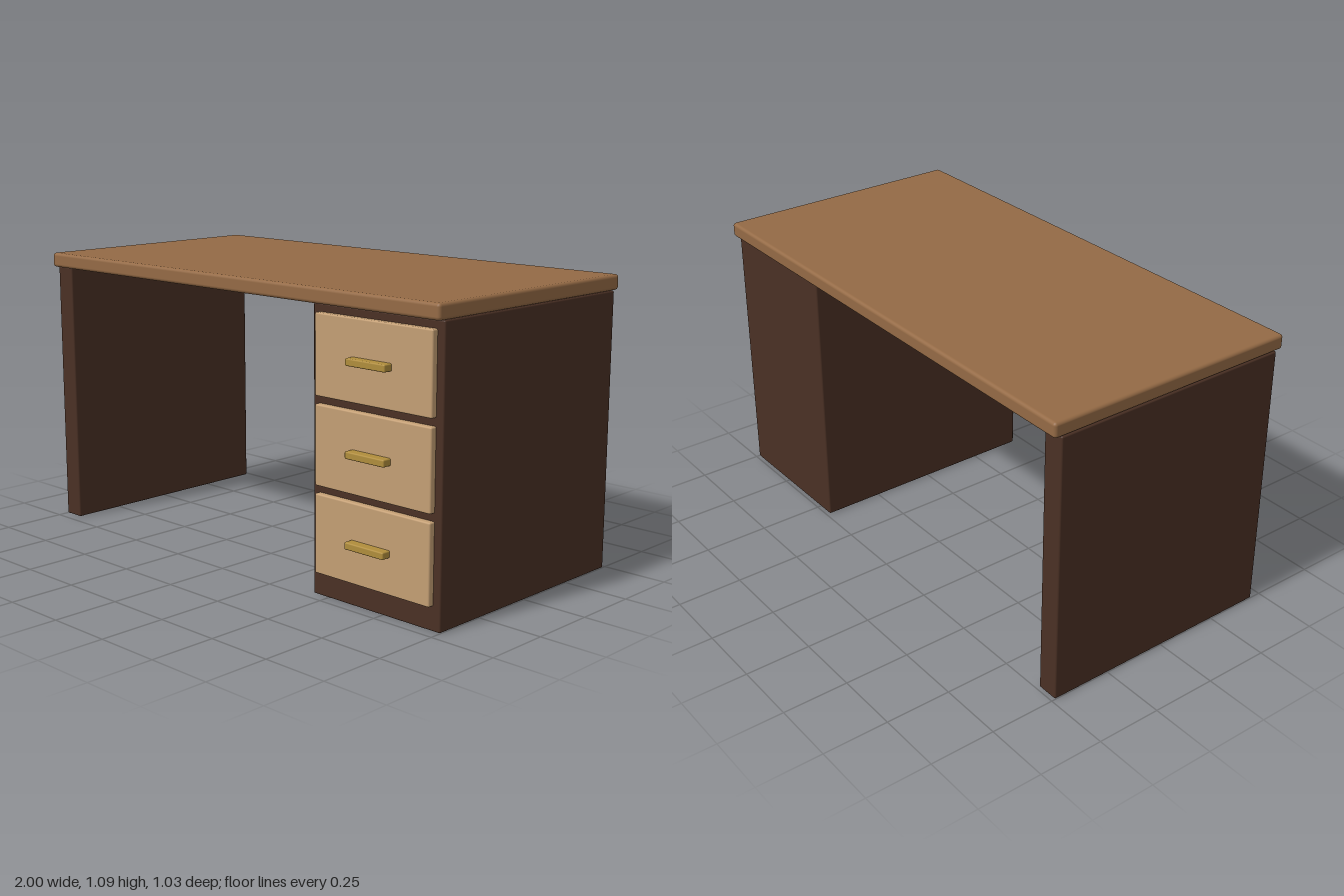
import * as THREE from 'three';
import { RoundedBoxGeometry } from 'three/addons/geometries/RoundedBoxGeometry.js';

const material = (color) => new THREE.MeshStandardMaterial({ color });

export function createModel() {
  const desk = new THREE.Group();
  desk.name = 'desk';

  const topWood = material(0x946a45);
  const darkWood = material(0x4a3024);
  const paleWood = material(0xc49f74);
  const brass = material(0xb08d3c);

  // Rounded box given by its [min, max] extent on each axis
  function box(name, [x0, x1], [y0, y1], [z0, z1], radius, mat, parent = desk) {
    const geometry = new RoundedBoxGeometry(x1 - x0, y1 - y0, z1 - z0, 3, radius);
    const mesh = new THREE.Mesh(geometry, mat);
    mesh.position.set((x0 + x1) / 2, (y0 + y1) / 2, (z0 + z1) / 2);
    mesh.name = name;
    parent.add(mesh);
    return mesh;
  }

  // Table top, side panel and drawer cabinet
  const bodyDepth = [-0.486, 0.457];
  box('tableTop', [-1, 1], [1.03, 1.086], [-0.515, 0.486], 0.012, topWood);
  box('sidePanel', [-1, -0.916], [0, 1.03], bodyDepth, 0.006, darkWood);
  box('drawerCabinet', [0.428, 1], [0, 1.03], bodyDepth, 0.006, darkWood);

  // Three drawers, from bottom to top, each with a bar handle
  for (let i = 0; i < 3; i++) {
    const y = 0.23 + i * 0.314;
    const drawer = new THREE.Group();
    drawer.name = `drawer${i + 1}`;
    box('drawerFront', [0.455, 0.97], [y - 0.143, y + 0.143], [0.451, 0.48], 0.006, paleWood, drawer);
    box('drawerHandle', [0.626, 0.8], [y - 0.013, y + 0.013], [0.474, 0.515], 0.005, brass, drawer);
    desk.add(drawer);
  }

  return desk;
}
